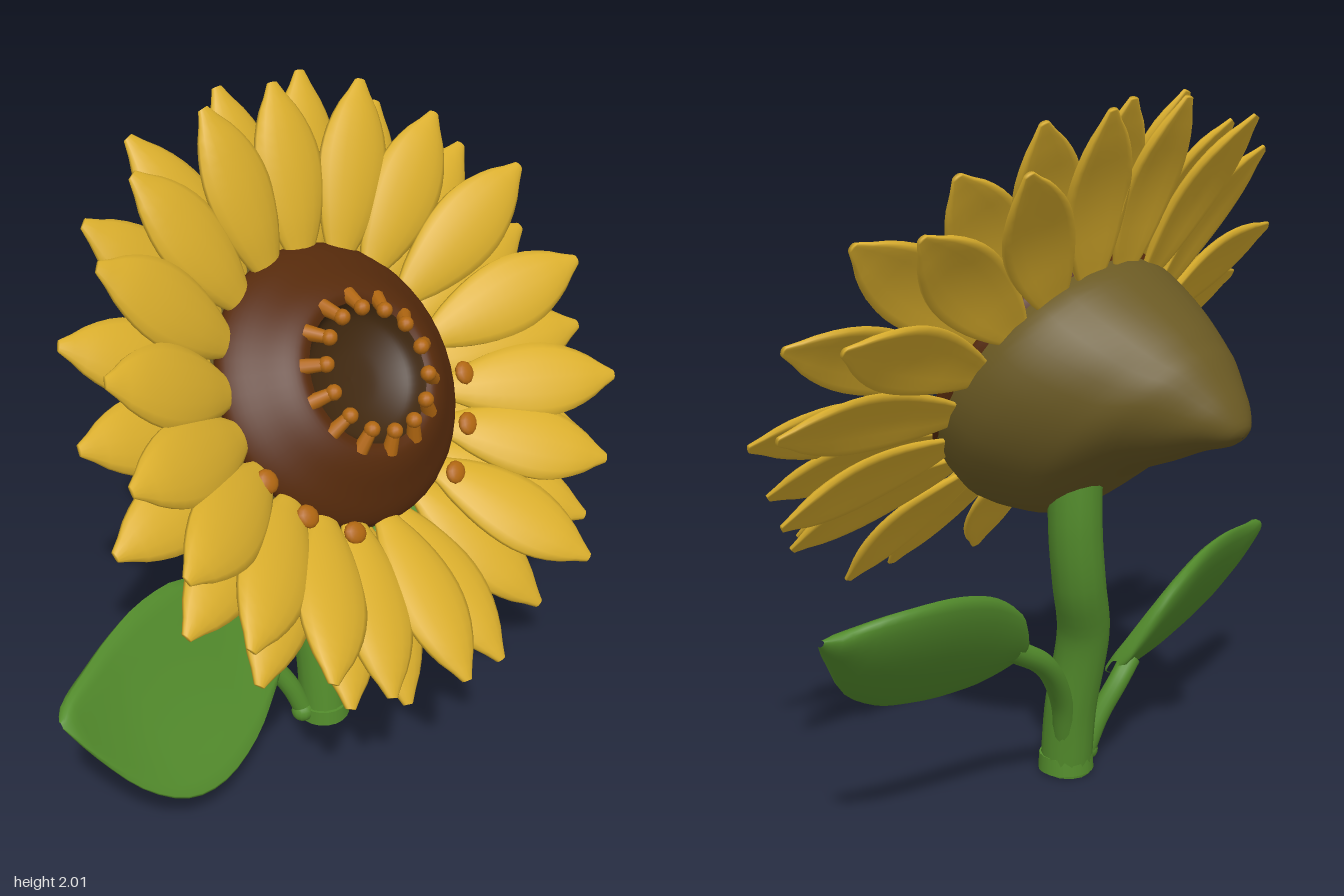
import * as THREE from 'three';

const mat = (name, color) => {
  const m = new THREE.MeshStandardMaterial({ color });
  m.name = name;
  return m;
};

// Smooth closed skin over rings of points
function loft(rings) {
  const n = rings[0].length, pos = [], idx = [];
  rings.forEach(r => r.forEach(p => pos.push(...p)));
  for (let i = 0; i < rings.length - 1; i++) {
    for (let j = 0; j < n; j++) {
      const a = i * n + j, b = i * n + (j + 1) % n;
      idx.push(a, b, a + n, b, b + n, a + n);
    }
  }
  const g = new THREE.BufferGeometry();
  g.setAttribute('position', new THREE.Float32BufferAttribute(pos, 3));
  g.setIndex(idx);
  g.computeVertexNormals();
  return g;
}

const ring = (n, fn) => Array.from({ length: n }, (_, j) => {
  const a = j / n * Math.PI * 2;
  return fn(Math.cos(a), Math.sin(a));
});

// Fuller than a circle, for plump blade edges
const plump = c => Math.sign(c) * Math.abs(c) ** 0.65;

// Smoothly resample a short table of stations
function resample(rows, count) {
  const cols = rows[0].map((_, c) =>
    new THREE.SplineCurve(rows.map((r, i) => new THREE.Vector2(i, r[c]))));
  return Array.from({ length: count + 1 }, (_, i) => cols.map(c => c.getPoint(i / count).y));
}

// Petal along +x, cupped across its width and lifted towards the tip
function petalGeometry(r0, r1, n0, n1, width) {
  const rows = resample([[0.3], [0.6], [0.84], [0.98], [1], [0.86], [0.56], [0.14]], 14);
  const rings = rows.map(([w], i) => {
    const s = i / 14, half = width * w;
    const y = n0 + (n1 - n0) * s + 0.03 * Math.sin(s * Math.PI);
    const thick = 0.019 * Math.min(1, w + 0.25);
    return ring(14, (c, k) => [r0 + (r1 - r0) * s, y + thick * plump(c) - 0.02 * w * k * k, half * k]);
  });
  const end = r => r.map(() => [0, 1, 2].map(a => r.reduce((t, p) => t + p[a], 0) / r.length));
  return loft([end(rings[0]), ...rings, end(rings[rings.length - 1])]);
}

// Leaf blade: rows are [z, lowest y, highest y], in rising z; leanX gives x from y and z
function leafGeometry(rows, leanX) {
  const rings = resample(rows, 24).map(([z, lo, hi]) => {
    const mid = (lo + hi) / 2, half = Math.max(0.001, (hi - lo) / 2);
    const th = Math.min(0.032, half * 0.8), cup = 0.035 * Math.min(1, half * 5);
    return ring(20, (c, s) => {
      const y = mid + half * s;
      return [leanX(y, z) + th * plump(c) - cup * (1 - s * s), y, z];
    });
  });
  return loft(rings);
}

// Bow along a leaf, from base (t = 0) to tip (t = 1)
const bow = t => 0.1 * t ** 3 - 0.11 * (1 - t) ** 3;

export function createModel() {
  const model = new THREE.Group();
  const green = mat('leaf green', 0x538c2c);
  const yellow = mat('petal yellow', 0xdaae2c);
  const brown = mat('disc brown', 0x562a0b);
  const dark = mat('pit brown', 0x40280f);
  const olive = mat('calyx olive', 0x6a5923);
  const orange = mat('stamen orange', 0xb06610);

  const add = (parent, name, geo, material) => {
    const m = new THREE.Mesh(geo, material);
    m.name = name;
    parent.add(m);
    return m;
  };
  const tube = (pts, r) => new THREE.TubeGeometry(
    new THREE.CatmullRomCurve3(pts.map(p => new THREE.Vector3(...p))), 28, r, 14);

  // Stem with a flat foot
  add(model, 'stem', tube([[-0.035, 0, 0], [-0.06, 0.2, -0.01], [-0.115, 0.45, -0.02],
    [-0.15, 0.62, -0.085], [-0.16, 0.78, -0.115], [-0.16, 1.05, -0.115]], 0.077), green);
  add(model, 'stemFoot', new THREE.CylinderGeometry(0.08, 0.083, 0.05, 20), green)
    .position.set(-0.035, 0.025, 0);

  // Leaf stalks and blades
  add(model, 'leftStalk', tube([[-0.05, 0.025, 0.07], [-0.075, 0.14, 0.11],
    [-0.105, 0.24, 0.165], [-0.11, 0.3, 0.22]], 0.031), green);
  add(model, 'stalkKnob', new THREE.SphereGeometry(0.036, 14, 10), green)
    .position.set(-0.05, 0.036, 0.08);
  add(model, 'rightStalk', tube([[-0.06, 0.1, -0.04], [-0.09, 0.25, -0.09],
    [-0.125, 0.4, -0.21], [-0.13, 0.49, -0.36]], 0.033), green);
  add(model, 'leftLeaf', leafGeometry([
    [0.165, 0.26, 0.3], [0.19, 0.245, 0.38], [0.25, 0.22, 0.51], [0.38, 0.175, 0.615],
    [0.55, 0.155, 0.64], [0.7, 0.19, 0.625], [0.83, 0.29, 0.6], [0.93, 0.43, 0.58],
    [0.99, 0.54, 0.555]],
  (y, z) => 0.11 - 0.69 * (y - 0.16) + bow((z - 0.165) / 0.825)), green);
  add(model, 'rightLeaf', leafGeometry([
    [-0.985, 0.65, 0.67], [-0.93, 0.58, 0.69], [-0.83, 0.46, 0.717], [-0.7, 0.385, 0.728],
    [-0.6, 0.36, 0.72], [-0.5, 0.355, 0.69], [-0.4, 0.375, 0.625], [-0.345, 0.42, 0.55],
    [-0.325, 0.46, 0.5]],
  (y, z) => 0.07 - 0.7 * (y - 0.36) + bow((-z - 0.325) / 0.66)), green);

  // Flower head: local y is the facing direction, local x runs up the face
  const head = new THREE.Group();
  head.name = 'flowerHead';
  head.position.set(0.03, 1.22, -0.01);
  head.quaternion.setFromRotationMatrix(new THREE.Matrix4().makeBasis(
    new THREE.Vector3(-0.59, 0.807, 0), new THREE.Vector3(0.807, 0.59, 0), new THREE.Vector3(0, 0, -1)));
  model.add(head);

  // Calyx: rows are [depth, low edge, high edge, half width]
  const calyx = resample([
    [0.0, -0.395, 0.41, 0.4], [-0.07, -0.4, 0.434, 0.42], [-0.15, -0.395, 0.437, 0.41],
    [-0.24, -0.345, 0.436, 0.37], [-0.32, -0.28, 0.43, 0.32], [-0.37, -0.16, 0.42, 0.28],
    [-0.42, -0.02, 0.41, 0.23], [-0.49, 0.09, 0.385, 0.165], [-0.55, 0.19, 0.36, 0.11],
    [-0.6, 0.255, 0.33, 0.05], [-0.612, 0.295, 0.3, 0.003]], 30);
  add(head, 'calyx', loft(calyx.map(([y, lo, hi, w]) =>
    ring(32, (c, s) => [(lo + hi) / 2 + (hi - lo) / 2 * c, y, w * s]))), olive);

  // Domed disc with a sunken centre
  const lathe = pts => new THREE.LatheGeometry(
    new THREE.SplineCurve(pts.map(p => new THREE.Vector2(...p))).getPoints(24), 48);
  const disc = add(head, 'disc', lathe([[0.38, -0.06], [0.41, 0], [0.388, 0.04], [0.33, 0.088],
    [0.275, 0.13], [0.23, 0.15], [0.2, 0.142]]), brown);
  const pit = add(head, 'pit', lathe([[0.2, 0.142], [0.17, 0.095], [0.09, 0.062], [0, 0.055]]), dark);
  disc.position.x = pit.position.x = 0.015;

  // Ring of stamens leaning inwards
  const stalkGeo = new THREE.CylinderGeometry(0.017, 0.023, 0.07, 10);
  const tipGeo = new THREE.SphereGeometry(0.023, 12, 8);
  for (let i = 0; i < 14; i++) {
    const holder = new THREE.Group();
    holder.name = 'stamen';
    holder.position.x = 0.015;
    holder.rotation.y = (i + 0.5) / 14 * Math.PI * 2;
    const s = add(holder, 'stamenStalk', stalkGeo, orange);
    s.position.set(0.2, 0.16, 0);
    s.rotation.z = 0.85;
    add(holder, 'stamenTip', tipGeo, orange).position.set(0.175, 0.184, 0);
    head.add(holder);
  }

  // Petals, placed by angle from the top of the face towards the left
  let seed = 7;
  const rand = () => (seed = (seed * 16807) % 2147483647) / 2147483647 - 0.5;
  const addPetal = (name, degrees, ...shape) => {
    add(head, name, petalGeometry(...shape), yellow).rotation.y = THREE.MathUtils.degToRad(degrees);
  };
  // Front layer, lifted most at the sides
  [10, 30, 50, 70, 88, 105, 122, 139, 154, 171, 210, 231, 248, 272, 294, 314, 331, 351].forEach(d => {
    const side = Math.sin(THREE.MathUtils.degToRad(d)) ** 2;
    addPetal('frontPetal', d, 0.37, 0.87 + rand() * 0.03, 0.01, 0.135 + 0.06 * side + rand() * 0.05, 0.115);
  });
  // Back layer, lying flatter and filling the gaps
  [0, 20, 41, 61, 79, 97, 114, 131, 147, 163, 184, 201, 221, 239, 260, 282, 303, 322, 341].forEach((d, i) => {
    addPetal('backPetal', d, 0.37, 0.9 + rand() * 0.03, -0.05, (i % 2 ? 0.02 : 0.07) + rand() * 0.03, 0.112);
  });

  // Orange feet where petals meet the rim of the disc
  const footGeo = new THREE.SphereGeometry(0.036, 12, 8);
  for (const side of [-1, 1]) {
    for (const d of [107, 128, 150]) {
      const a = THREE.MathUtils.degToRad(d) * side;
      const foot = add(head, 'petalFoot', footGeo, orange);
      foot.scale.set(0.9, 0.5, 1);
      foot.position.set(Math.cos(a) * 0.42, 0.052, -Math.sin(a) * 0.42);
      foot.rotation.y = a;
    }
  }

  return model;
}
